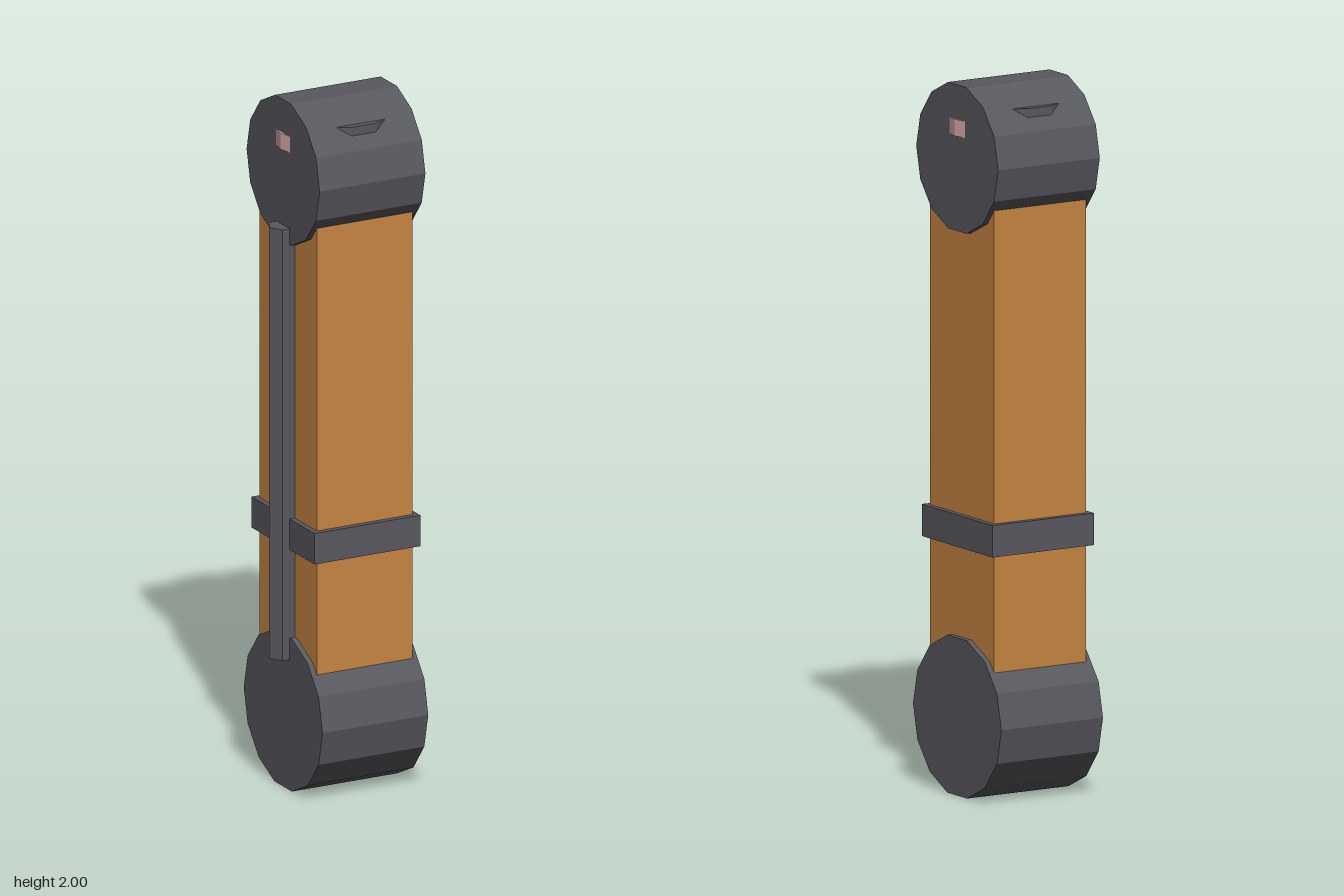
import * as THREE from 'three';

export function createModel() {
  const model = new THREE.Group();
  const paint = (name, color) => {
    const m = new THREE.MeshStandardMaterial({ color, flatShading: true });
    m.name = name;
    return m;
  };
  const orange = paint('orange', 0xc68642);
  const grey = paint('dark grey', 0x58585f);
  const pink = paint('pale pink', 0xd4a5a5);
  const midX = 0.017;

  function add(name, geometry, material, x, y, z = 0) {
    const mesh = new THREE.Mesh(geometry, material);
    mesh.name = name;
    mesh.position.set(x, y, z);
    model.add(mesh);
    return mesh;
  }

  // Upright prism from an outline of [x, z] points, centred on its height
  function prism(points, height) {
    const shape = new THREE.Shape(points.map(([x, z]) => new THREE.Vector2(x, -z)));
    const g = new THREE.ExtrudeGeometry(shape, { depth: height, bevelEnabled: false });
    return g.rotateX(-Math.PI / 2).translate(0, -height / 2, 0);
  }

  // Main beam and the clamp around it
  add('beam', new THREE.BoxGeometry(0.3, 1.57, 0.33), orange, midX, 1.01);
  add('clampBand', new THREE.BoxGeometry(0.332, 0.09, 0.364), grey, midX, 0.745);

  // Joint drums at both ends, axis across the model
  const drum = (name, radius, y) =>
    add(name, new THREE.CylinderGeometry(radius, radius, 0.332, 14).rotateZ(Math.PI / 2), grey, midX, y);
  drum('lowerJoint', 0.2275, 0.222);
  drum('upperJoint', 0.211, 1.794);

  // Six-sided conduit along the right side
  add('conduit', new THREE.CylinderGeometry(0.044, 0.044, 1.255, 6).rotateY(Math.PI / 2), grey, -0.15, 1.0075);

  // Small ledges on the front and back of the upper joint
  for (const side of [1, -1]) {
    const ledge = prism([[-0.075, 0.143], [-0.0375, 0.162], [0.0375, 0.162], [0.075, 0.143], [0.075, 0.12], [-0.075, 0.12]], 0.1);
    if (side < 0) ledge.rotateY(Math.PI);
    add(side > 0 ? 'frontLedge' : 'backLedge', ledge, grey, midX, 1.896);
  }

  // Pointed pin heads on both caps of the upper joint
  for (const side of [1, -1]) {
    const pin = prism([[0, -0.04], [0, 0.04], [0.009, 0]], 0.047);
    if (side < 0) pin.rotateY(Math.PI);
    add(side > 0 ? 'leftPin' : 'rightPin', pin, pink, midX + side * 0.166, 1.88);
  }

  return model;
}
